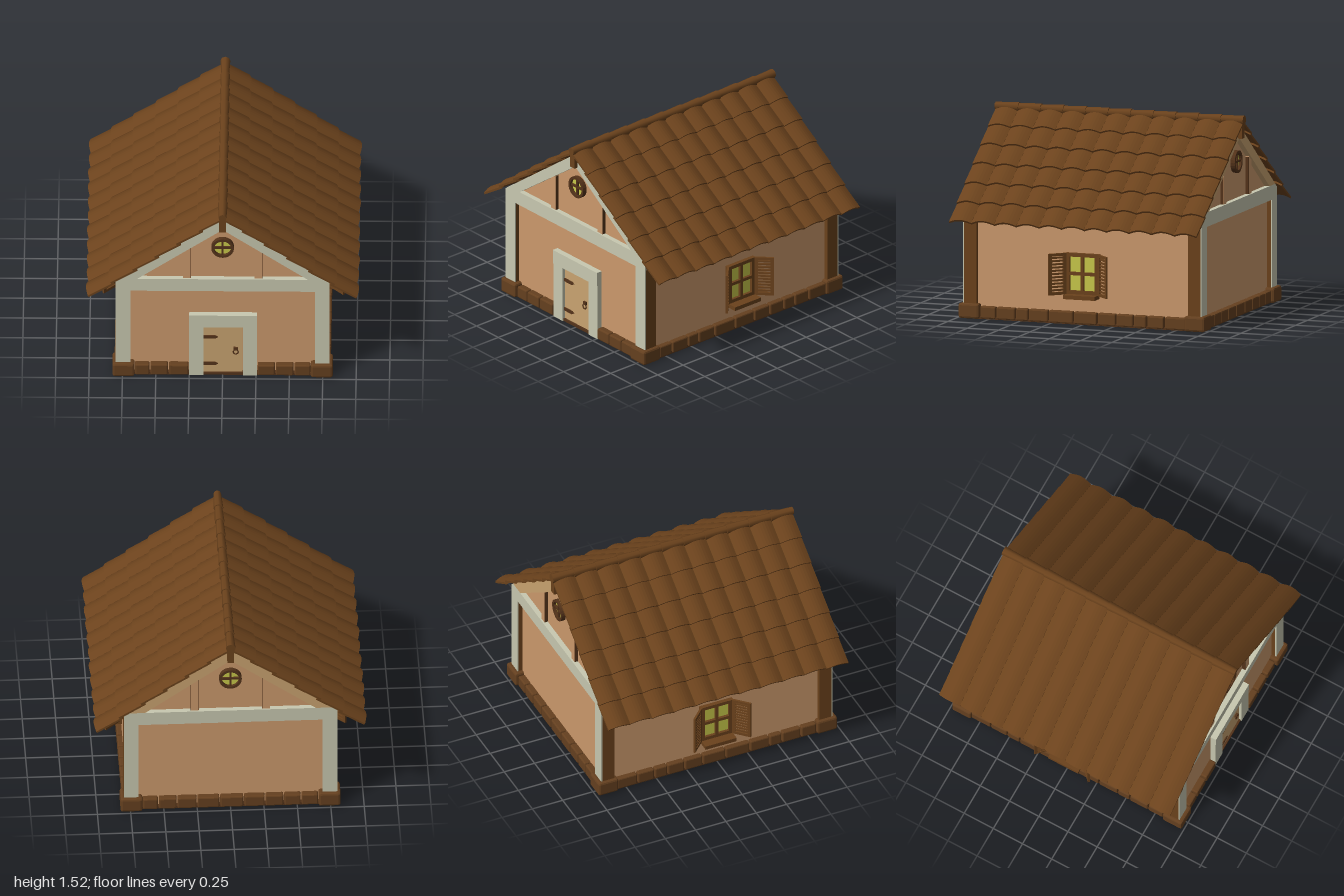
import * as THREE from 'three';
import { RoundedBoxGeometry } from 'three/addons/geometries/RoundedBoxGeometry.js';

const mat = (color, extra = {}) => new THREE.MeshStandardMaterial({ color, ...extra });
const WOOD = mat(0x6b421c), STONE = mat(0x65401f, { flatShading: true });
const WALL = mat(0xcb996c), PALE = mat(0xc8c8b0), TAN = mat(0xc9a370);
const GLASS = mat(0xc8c84a), DARK = mat(0x54331a);

function add(parent, name, geometry, material, x = 0, y = 0, z = 0) {
  const m = new THREE.Mesh(geometry, material);
  m.name = name;
  m.position.set(x, y, z);
  parent.add(m);
  return m;
}

// box given by its min and max on each axis
function block(parent, name, material, [x0, x1], [y0, y1], [z0, z1], radius = 0) {
  const s = [x1 - x0, y1 - y0, z1 - z0];
  const g = radius ? new RoundedBoxGeometry(...s, 1, radius) : new THREE.BoxGeometry(...s);
  return add(parent, name, g, material, (x0 + x1) / 2, (y0 + y1) / 2, (z0 + z1) / 2);
}

// flat outline extruded from z0 to z1
function plate(parent, name, material, points, z0, z1) {
  const shape = new THREE.Shape(points.map(p => new THREE.Vector2(...p)));
  const g = new THREE.ExtrudeGeometry(shape, { depth: z1 - z0, bevelEnabled: false });
  return add(parent, name, g, material, 0, 0, z0);
}

function group(parent, name) {
  const g = new THREE.Group();
  g.name = name;
  parent.add(g);
  return g;
}

// row of rounded foundation stones; place(a, b) gives the x and z ranges
function stones(parent, cuts, place) {
  for (let i = 0; i < cuts.length - 1; i++) {
    const [x, z] = place(cuts[i] + 0.004, cuts[i + 1] - 0.004);
    block(parent, 'foundationStone', STONE, x, [0.005, 0.097], z, 0.01);
  }
}

// gable window: round frame, glass and cross bars
function roundWindow(parent) {
  const w = group(parent, 'roundWindow');
  w.position.set(0, 1.172, 0.915);
  const ring = new THREE.Shape().absarc(0, 0, 0.085, 0, Math.PI * 2);
  ring.holes.push(new THREE.Path().absarc(0, 0, 0.065, 0, Math.PI * 2, true));
  const g = new THREE.ExtrudeGeometry(ring, { depth: 0.035, bevelEnabled: false, curveSegments: 12 });
  add(w, 'roundFrame', g, DARK);
  add(w, 'roundGlass', new THREE.CircleGeometry(0.07, 12), GLASS, 0, 0, 0.012);
  block(w, 'verticalBar', DARK, [-0.008, 0.008], [-0.068, 0.068], [0, 0.027]);
  block(w, 'horizontalBar', DARK, [-0.068, 0.068], [-0.008, 0.008], [0, 0.027]);
}

// timber framing of one gable end
function gableEnd(parent, name, rafterMaterial) {
  const e = group(parent, name);
  plate(e, 'crossBeam', PALE,
    [[-0.8, 0.78], [0.8, 0.78], [0.8, 0.862], [0.764, 0.89], [-0.764, 0.89], [-0.8, 0.862]], 0.9, 0.955);
  plate(e, 'rafters', rafterMaterial,
    [[0.764, 0.89], [0, 1.453], [-0.764, 0.89], [-0.64, 0.89], [0, 1.35], [0.64, 0.89]], 0.9, 0.955);
  for (const s of [-1, 1]) {
    const range = (a, b) => s > 0 ? [a, b] : [-b, -a];
    block(e, 'cornerPost', WOOD, range(0.69, 0.8), [0.05, 0.862], [0.845, 0.946]);
    block(e, 'postFace', PALE, range(0.69, 0.8), [0.05, 0.78], [0.946, 0.955]);
    block(e, 'gableStud', WALL, range(0.24, 0.295), [0.88, 1.19], [0.9, 0.942]);
    for (const x of [0.24, 0.295])
      block(e, 'studEdge', DARK, range(x - 0.003, x + 0.003), [0.89, 1.17], [0.9, 0.94]);
    block(e, 'cornerStone', STONE, range(0.66, 0.825), [0, 0.115], [0.82, 0.985], 0.016);
  }
  block(e, 'kingPost', WOOD, [-0.025, 0.025], [1.35, 1.48], [0.93, 0.985]);
  roundWindow(e);
  return e;
}

function door(parent) {
  const d = group(parent, 'door');
  block(d, 'doorPanel', TAN, [-0.145, 0.15], [0.005, 0.45], [0.9, 0.935]);
  block(d, 'doorJamb', PALE, [-0.25, -0.142], [0, 0.447], [0.9, 0.957]);
  block(d, 'doorJamb', PALE, [0.152, 0.257], [0, 0.447], [0.9, 0.957]);
  block(d, 'lintel', PALE, [-0.25, 0.257], [0.447, 0.557], [0.9, 0.962]);
  for (const y of [0.343, 0.098])
    plate(d, 'hinge', DARK, [[-0.142, y - 0.013], [-0.055, y - 0.013], [-0.033, y],
      [-0.055, y + 0.013], [-0.142, y + 0.013]], 0.93, 0.943);
  block(d, 'knockerPlate', DARK, [0.082, 0.114], [0.225, 0.25], [0.93, 0.95]);
  add(d, 'knockerRing', new THREE.TorusGeometry(0.019, 0.005, 6, 14), DARK, 0.098, 0.212, 0.948);
}

// side window, built facing +z and centred on x
function sideWindow(parent, side) {
  const w = group(parent, 'sideWindow');
  w.rotation.y = side * Math.PI / 2;
  block(w, 'pane', GLASS, [-0.12, 0.12], [0.24, 0.53], [0.75, 0.78]);
  for (const [a, b] of [[-0.135, -0.1], [-0.012, 0.012], [0.1, 0.135]])
    block(w, 'frameUpright', WOOD, [a, b], [0.23, 0.54], [0.76, 0.803]);
  for (const [a, b] of [[0.23, 0.257], [0.373, 0.397], [0.513, 0.54]])
    block(w, 'frameRail', WOOD, [-0.134, 0.134], [a, b], [0.76, 0.802]);
  block(w, 'sill', WOOD, [-0.128, 0.128], [0.2, 0.23], [0.76, 0.875]);
  for (const s of [-1, 1]) {
    // louvred shutter, hinged at the frame and half open
    const h = group(w, 'shutter');
    h.position.set(s * 0.13, 0, 0.797);
    h.rotation.y = s > 0 ? -Math.PI / 4 : -Math.PI * 3 / 4;
    const t = [-0.008, 0.008];
    block(h, 'shutterStile', WOOD, [0, 0.025], [0.225, 0.54], t);
    block(h, 'shutterStile', WOOD, [0.122, 0.147], [0.225, 0.54], t);
    block(h, 'shutterRail', WOOD, [0.02, 0.125], [0.225, 0.247], t);
    block(h, 'shutterRail', WOOD, [0.02, 0.125], [0.52, 0.54], t);
    for (let i = 0; i < 11; i++) {
      const y = 0.262 + i * 0.0245;
      block(h, 'louvre', WOOD, [0.02, 0.125], [y - 0.007, y + 0.007], [-0.005, 0.005]);
    }
  }
}

// arched tile: x runs down the slope, y is the roof normal
function tileGeometry(length, width, hump, thick) {
  const arc = [], n = 8;
  for (let i = 0; i <= n; i++)
    arc.push([(i / n - 0.5) * width, hump * Math.sin(Math.PI * i / n)]);
  const pts = [...arc, ...arc.slice().reverse().map(([x, y]) => [x, y + thick])];
  const shape = new THREE.Shape(pts.map(p => new THREE.Vector2(...p)));
  return new THREE.ExtrudeGeometry(shape, { depth: length, bevelEnabled: false }).rotateY(Math.PI / 2);
}

function roof(parent) {
  const r = group(parent, 'roof');
  const cols = 11, rows = 6, step = 0.18, run = 0.205;
  const longTile = tileGeometry(0.232, step - 0.001, 0.026, 0.015);
  const topTile = tileGeometry(run, step - 0.001, 0.026, 0.015);
  for (const side of [0, 1]) {
    const turn = group(r, 'roofSide');
    turn.rotation.y = side * Math.PI;
    const slope = group(turn, 'roofSlope');
    slope.position.y = 1.46;
    slope.rotation.z = -Math.atan(0.737);
    for (let i = 0; i < rows; i++)
      for (let j = 0; j < cols; j++) {
        const shift = ((i * 7 + j * 5) % 4 - 1.5) * 0.0015;
        const t = add(slope, 'roofTile', i ? longTile : topTile, WOOD,
          i ? i * run - 0.027 + shift : 0, 0, (j - (cols - 1) / 2) * step);
        t.rotation.z = 0.075;
      }
  }
  // tapered ridge caps
  const cap = new THREE.CylinderGeometry(0.029, 0.037, 0.19, 8).rotateX(Math.PI / 2);
  for (let j = 0; j < cols; j++)
    add(r, 'ridgeCap', cap, WOOD, 0, 1.488, (j - (cols - 1) / 2) * step);
}

export function createModel() {
  const house = new THREE.Group();
  house.name = 'house';

  plate(house, 'walls', WALL, [[-0.77, 0.01], [0.77, 0.01], [0.77, 0.87], [0, 1.44], [-0.77, 0.87]], -0.915, 0.915);
  block(house, 'floor', DARK, [-0.8, 0.8], [0, 0.02], [-0.95, 0.95]);

  const front = gableEnd(house, 'frontGable', PALE);
  door(front);
  stones(front, [-0.66, -0.545, -0.405, -0.252], (a, b) => [[a, b], [0.88, 0.965]]);
  stones(front, [0.259, 0.395, 0.535, 0.66], (a, b) => [[a, b], [0.88, 0.965]]);

  const back = gableEnd(house, 'backGable', TAN);
  back.rotation.y = Math.PI;
  stones(back, [-0.66, -0.54, -0.4, -0.25, -0.08, 0.1, 0.26, 0.4, 0.53, 0.66],
    (a, b) => [[a, b], [0.88, 0.965]]);

  const sideCuts = [-0.83, -0.657, -0.517, -0.41, -0.27, -0.12, 0.07, 0.27, 0.43, 0.533, 0.69, 0.82];
  for (const s of [-1, 1]) {
    stones(house, sideCuts, (a, b) => [s > 0 ? [0.73, 0.81] : [-0.81, -0.73], [a, b]]);
    sideWindow(house, s);
  }

  roof(house);
  return house;
}
